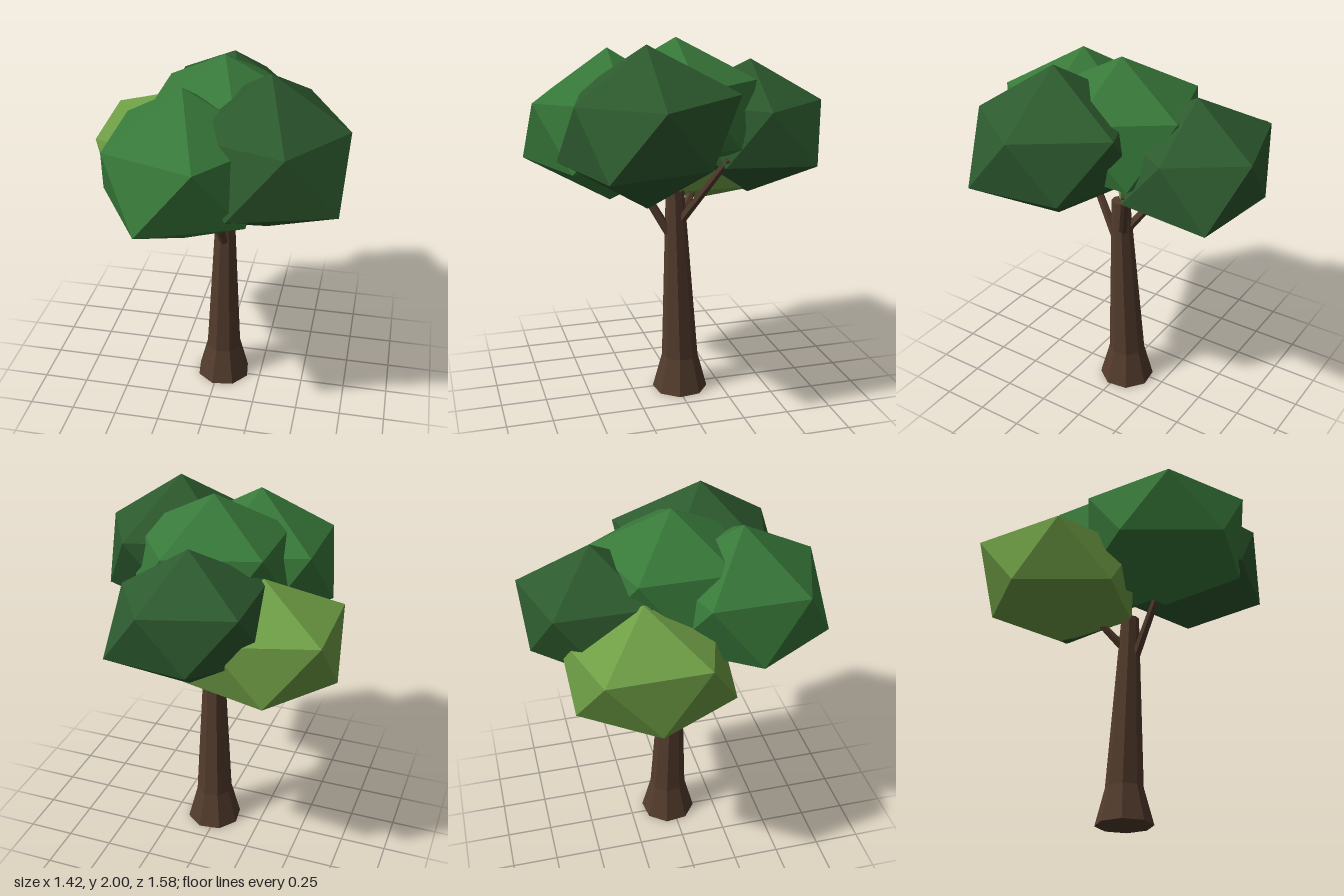
import * as THREE from 'three';

const material = (name, color) => {
  const m = new THREE.MeshStandardMaterial({ color, flatShading: true });
  m.name = name;
  return m;
};

// Squashed twelve-point leaf clump. Each point has its own radius:
// top pole, five upper points, five lower points, bottom pole.
function clumpGeometry([cx, cy, cz], top, upper, lower, bottom) {
  const squash = 0.75, ringRadius = 0.894, ringHeight = 0.447;
  const pos = [cx, cy + squash * top, cz];
  const ring = (radii, offset, sign) => radii.forEach((k, i) => {
    const a = THREE.MathUtils.degToRad(offset + 72 * i);
    pos.push(
      cx + Math.cos(a) * ringRadius * k,
      cy + sign * ringHeight * squash * k,
      cz + Math.sin(a) * ringRadius * k);
  });
  ring(upper, 0, 1);
  ring(lower, 36, -1);
  pos.push(cx, cy - squash * bottom, cz);

  const index = [];
  for (let i = 0; i < 5; i++) {
    const j = (i + 1) % 5;
    const u = 1 + i, un = 1 + j, l = 6 + i, ln = 6 + j;
    index.push(0, un, u, u, un, l, l, un, ln, 11, l, ln);
  }
  const indexed = new THREE.BufferGeometry();
  indexed.setAttribute('position', new THREE.Float32BufferAttribute(pos, 3));
  indexed.setIndex(index);
  const g = indexed.toNonIndexed();
  g.computeVertexNormals();
  return g;
}

// Eight-sided trunk with a flared foot and a slight lean.
function trunkGeometry() {
  const rows = [ // y, radius, centre x, centre z; top to bottom
    [1.18, 0.05, 0.04, 0.01],
    [0.2, 0.102, 0.028, -0.022],
    [0, 0.155, 0.028, -0.022],
  ];
  const g = new THREE.CylinderGeometry(1, 1, 1, 8, 2, false, Math.PI / 6).toNonIndexed();
  const p = g.attributes.position;
  for (let i = 0; i < p.count; i++) {
    const [y, r, cx, cz] = rows[Math.round((0.5 - p.getY(i)) * 2)];
    p.setXYZ(i, cx + p.getX(i) * r, y, cz + p.getZ(i) * r);
  }
  g.computeVertexNormals();
  return g;
}

// Thin straight limb between two points.
function branchMesh(from, to, mat) {
  const a = new THREE.Vector3(...from), b = new THREE.Vector3(...to);
  const dir = b.clone().sub(a);
  const mesh = new THREE.Mesh(new THREE.CylinderGeometry(0.02, 0.026, dir.length(), 6), mat);
  mesh.position.copy(a).add(b).multiplyScalar(0.5);
  mesh.quaternion.setFromUnitVectors(new THREE.Vector3(0, 1, 0), dir.normalize());
  return mesh;
}

export function createModel() {
  const tree = new THREE.Group();
  tree.name = 'tree';
  const bark = material('bark brown', 0x533c2d);
  const midGreen = material('leaf green', 0x38793a);
  const darkGreen = material('dark leaf green', 0x2d5a2e);
  const lightGreen = material('light leaf green', 0x6f9e45);

  const add = (name, mesh) => {
    mesh.name = name;
    tree.add(mesh);
  };

  // Wood
  add('trunk', new THREE.Mesh(trunkGeometry(), bark));
  add('frontBranch', branchMesh([0.04, 0.94, 0.045], [-0.01, 1.3, 0.25], bark));
  add('longBackBranch', branchMesh([0.05, 0.99, -0.01], [0.32, 1.4, -0.2], bark));
  add('shortBackBranch', branchMesh([0.03, 1.0, -0.02], [-0.07, 1.16, -0.13], bark));

  // Foliage: name, material, centre, top, upper ring, lower ring, bottom
  const clumps = [
    ['leftClump', darkGreen, [0.305, 1.58, 0.23], 0.56,
      [0.447, 0.456, 0.49, 0.49, 0.53], [0.526, 0.515, 0.5, 0.48, 0.46], 0.553],
    ['frontClump', midGreen, [-0.11, 1.52, 0.34], 0.56,
      [0.5, 0.498, 0.476, 0.49, 0.48], [0.5, 0.527, 0.475, 0.49, 0.49], 0.547],
    ['centreClump', midGreen, [0.035, 1.62, 0.005], 0.507,
      [0.48, 0.48, 0.47, 0.475, 0.478], [0.48, 0.48, 0.47, 0.46, 0.48], 0.48],
    ['backClump', darkGreen, [0.008, 1.505, -0.42], 0.487,
      [0.4, 0.45, 0.46, 0.471, 0.434], [0.45, 0.45, 0.47, 0.408, 0.491], 0.5],
    ['rightClump', lightGreen, [-0.31, 1.32, -0.22], 0.48,
      [0.46, 0.48, 0.491, 0.515, 0.48], [0.47, 0.53, 0.448, 0.447, 0.47], 0.4],
  ];
  for (const [name, mat, ...shape] of clumps) {
    add(name, new THREE.Mesh(clumpGeometry(...shape), mat));
  }
  return tree;
}
